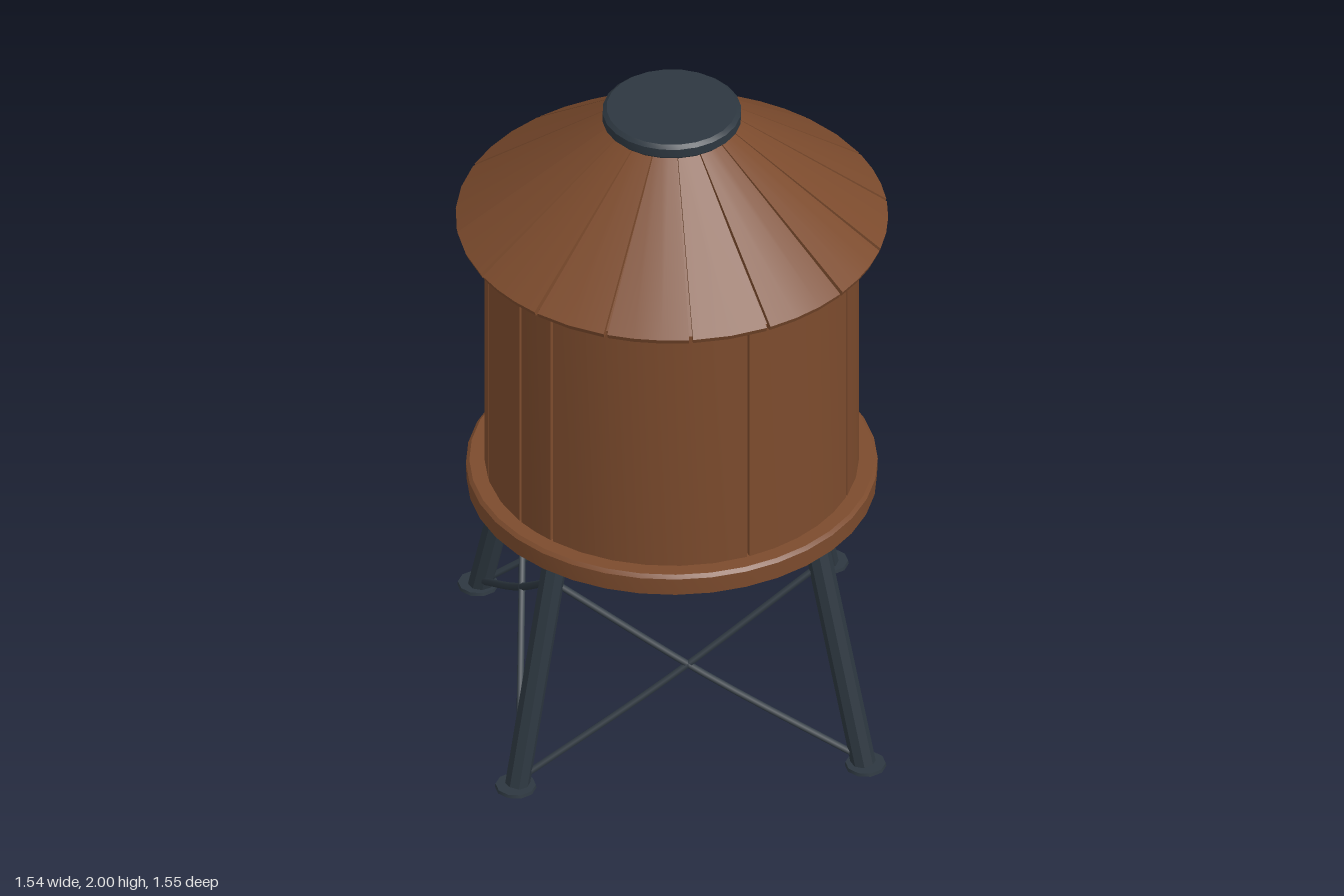
import * as THREE from 'three';
import { mergeGeometries, toCreasedNormals } from 'three/addons/utils/BufferGeometryUtils.js';

const wood = new THREE.MeshStandardMaterial({ color: 0x7c4b2d, side: THREE.DoubleSide });
wood.name = 'brown wood';
const steel = new THREE.MeshStandardMaterial({ color: 0x2d3740 });
steel.name = 'dark steel';

const rad = THREE.MathUtils.degToRad;
const V2 = (p) => new THREE.Vector2(p[0], p[1]);

function add(parent, name, geometry, material) {
  const mesh = new THREE.Mesh(geometry, material);
  mesh.name = name;
  parent.add(mesh);
  return mesh;
}

// Solid of revolution; profile runs up the outside, as [radius, y]
function turned(profile, segments, crease = 0.45) {
  return toCreasedNormals(new THREE.LatheGeometry(profile.map(V2), segments), crease);
}

// Slice of a ring between two angles, closed at both cut ends
function sector(profile, from, to, segments) {
  const points = profile.map(V2);
  const shell = new THREE.LatheGeometry([...points, points[0]], segments, from, to - from);
  const ends = [from, to].map((a) => new THREE.ShapeGeometry(new THREE.Shape(points)).rotateY(a - Math.PI / 2));
  return toCreasedNormals(mergeGeometries([shell, ...ends]), 0.45);
}

// One sector per pair of neighbouring seams (degrees from +x towards +z)
function planks(parent, name, profile, seams, gap, step) {
  seams.forEach((a, i) => {
    const b = i + 1 < seams.length ? seams[i + 1] : seams[0] + 360;
    const n = Math.max(2, Math.round((b - a) / step));
    add(parent, name, sector(profile, rad(90 - b) + gap, rad(90 - a) - gap, n), wood);
  });
}

// Straight round bar between two points
function bar(a, b, rA, rB, sides) {
  const dir = b.clone().sub(a);
  const g = new THREE.CylinderGeometry(rB, rA, dir.length(), sides);
  g.applyQuaternion(new THREE.Quaternion().setFromUnitVectors(new THREE.Vector3(0, 1, 0), dir.normalize()));
  g.translate((a.x + b.x) / 2, (a.y + b.y) / 2, (a.z + b.z) / 2);
  return toCreasedNormals(g, 0.6);
}

export function createModel() {
  const model = new THREE.Group();
  model.name = 'waterTower';

  // Tank: inner drum and wide staves with narrow joints
  const tank = new THREE.Group();
  tank.name = 'tank';
  model.add(tank);
  add(tank, 'tankCore', turned([[0.522, 0.74], [0.522, 1.62]], 48), wood);
  planks(tank, 'tankStave', [[0.51, 0.74], [0.538, 0.74], [0.538, 1.62], [0.51, 1.62]],
    [72, 117, 181, 195, 219, 282], 0.008, 10);

  // Collar under the tank
  add(model, 'collar', turned([[0.5, 0.7], [0.59, 0.7], [0.592, 0.755], [0.582, 0.765], [0.5, 0.765]], 36), wood);

  // Bowl-shaped bottom with radial boards
  const bowl = new THREE.Group();
  bowl.name = 'bowl';
  model.add(bowl);
  const curve = (lift) => [0.02, 0.12, 0.22, 0.31, 0.4, 0.48, 0.55].map((r) => [r, 0.5 + lift + 0.66 * r * r]);
  add(bowl, 'bowlCore', turned([[0, 0.512], ...curve(0.012)], 40), wood);
  const bowlSeams = Array.from({ length: 20 }, (_, i) => i * 18);
  planks(bowl, 'bowlBoard', [...curve(0), ...curve(0.02).reverse()], bowlSeams, 0.008, 9);

  // Outlet pipe
  const outlet = add(model, 'outletPipe', toCreasedNormals(new THREE.CylinderGeometry(0.046, 0.042, 0.1, 12), 0.6), wood);
  outlet.position.y = 0.48;

  // Conical roof: fifteen panels over a closed core
  const roof = new THREE.Group();
  roof.name = 'roof';
  model.add(roof);
  add(roof, 'roofCore', turned([[0, 1.608], [0.6, 1.608], [0.6, 1.615], [0.15, 1.95], [0, 1.95]], 45), wood);
  planks(roof, 'roofPanel', [[0.59, 1.603], [0.616, 1.603], [0.622, 1.618], [0.165, 1.962], [0.165, 1.93]],
    [0, 21.5, 44, 67, 89.5, 114.5, 136, 159, 180, 202.5, 224, 255, 283, 316, 337.5], 0.009, 9);

  // Round hatch lid
  add(model, 'lid', turned([[0, 1.955], [0.192, 1.955], [0.2, 1.963], [0.2, 1.99], [0.188, 2], [0, 2]], 24), steel);

  // Four splayed legs with foot plates
  const frame = new THREE.Group();
  frame.name = 'frame';
  model.add(frame);
  const at = (i, r, y) => new THREE.Vector3(r * Math.cos(i * Math.PI / 2), y, r * Math.sin(i * Math.PI / 2));
  for (let i = 0; i < 4; i++) {
    add(frame, 'leg', bar(at(i, 0.707, 0.005), at(i, 0.53, 0.715), 0.036, 0.036, 8), steel);
    const foot = add(frame, 'footPlate', toCreasedNormals(new THREE.CylinderGeometry(0.058, 0.06, 0.01, 10), 0.8), steel);
    foot.position.copy(at(i, 0.715, 0.005));

    // Slightly sagging cross braces to both neighbours
    for (const j of [i + 1, i - 1]) {
      const top = at(i, 0.545, 0.63);
      const bottom = at(j, 0.7, 0.02);
      const middle = top.clone().lerp(bottom, 0.5);
      middle.y -= 0.02;
      const path = new THREE.CatmullRomCurve3([top, middle, bottom]);
      add(frame, 'brace', new THREE.TubeGeometry(path, 10, 0.011, 6), steel);
    }
  }
  return model;
}
